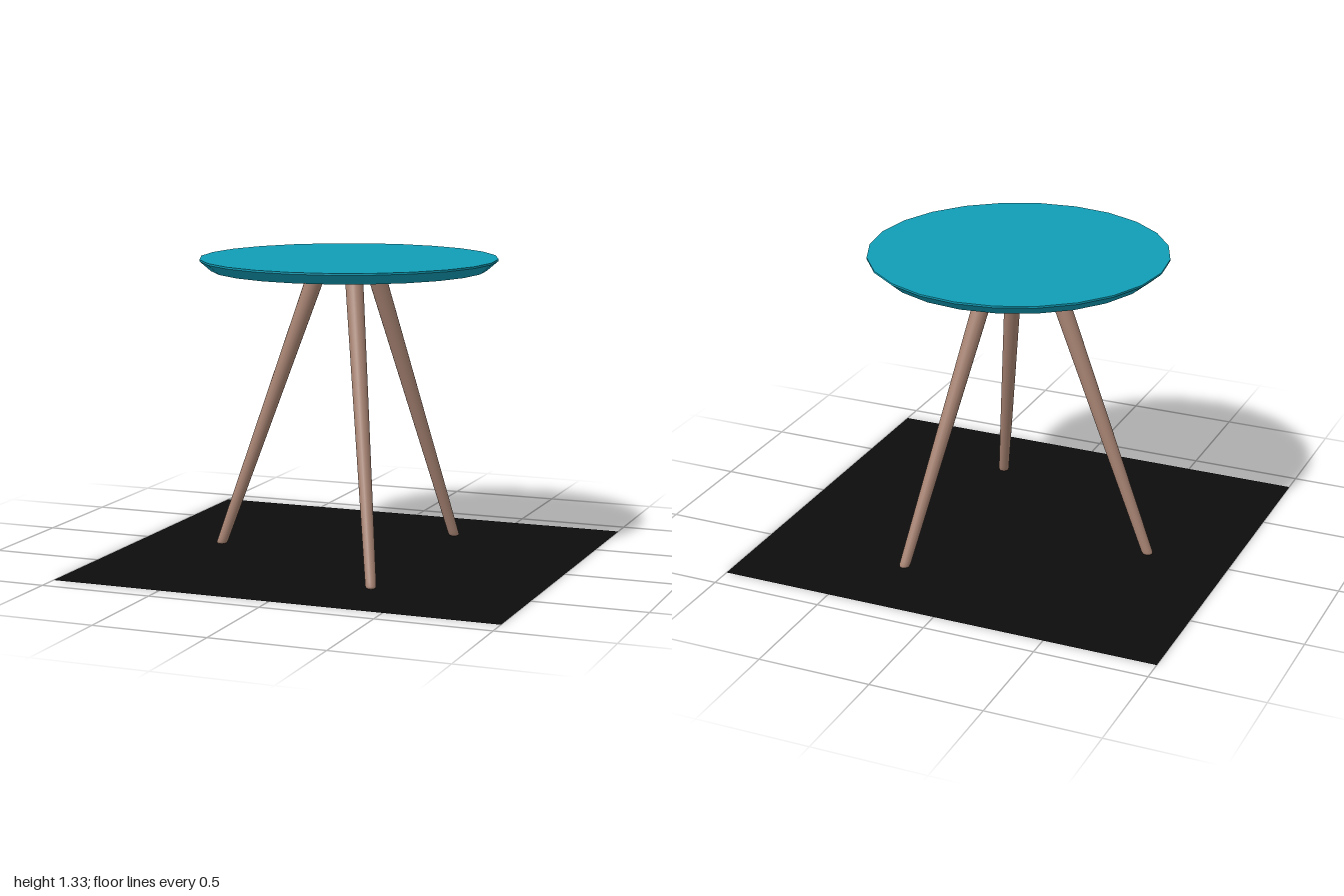
import * as THREE from 'three';

const teal = new THREE.MeshStandardMaterial({ color: 0x109db6 });
teal.name = 'tealPaint';
teal.flatShading = true;
const wood = new THREE.MeshStandardMaterial({ color: 0xa88473 });
wood.name = 'paleWood';
const black = new THREE.MeshStandardMaterial({ color: 0x0d0d0d });
black.name = 'blackFloor';
black.side = THREE.DoubleSide;

const profile = (pairs) => pairs.map(([r, y]) => new THREE.Vector2(r, y));

// Tapered round leg, sheared outward so the foot and the top are cut level
function legGeometry() {
  const height = 1.29, footX = 0.625, topX = 0.14;
  const geo = new THREE.LatheGeometry(profile([
    [0, 0.001], [0.017, 0.001], [0.0215, 0.004], [0.0235, 0.012],
    [0.0238, 0.03], [0.04, height],
  ]), 20);
  const slope = (topX - footX) / height;
  const stretch = Math.hypot(1, slope);
  geo.applyMatrix4(new THREE.Matrix4().set(
    stretch, slope, 0, footX,
    0, 1, 0, 0,
    0, 0, 1, 0,
    0, 0, 0, 1));
  return geo;
}

export function createModel() {
  const model = new THREE.Group();
  model.name = 'roundTable';

  // Faceted disc with an undercut edge
  const top = new THREE.Mesh(new THREE.LatheGeometry(profile([
    [0, 1.283], [0.605, 1.283], [0.655, 1.326], [0.655, 1.334], [0, 1.334],
  ]), 24), teal);
  top.name = 'tableTop';
  model.add(top);

  // Three splayed legs, one of them pointing to -x
  const geo = legGeometry();
  ['frontLeg', 'backLeg', 'rightLeg'].forEach((name, i) => {
    const leg = new THREE.Mesh(geo, wood);
    leg.name = name;
    leg.rotation.y = [-Math.PI / 3, Math.PI / 3, Math.PI][i];
    model.add(leg);
  });

  // Flat floor sheet
  const floor = new THREE.Mesh(new THREE.PlaneGeometry(2, 1.8), black);
  floor.name = 'floorSheet';
  floor.rotation.x = -Math.PI / 2;
  model.add(floor);

  return model;
}
